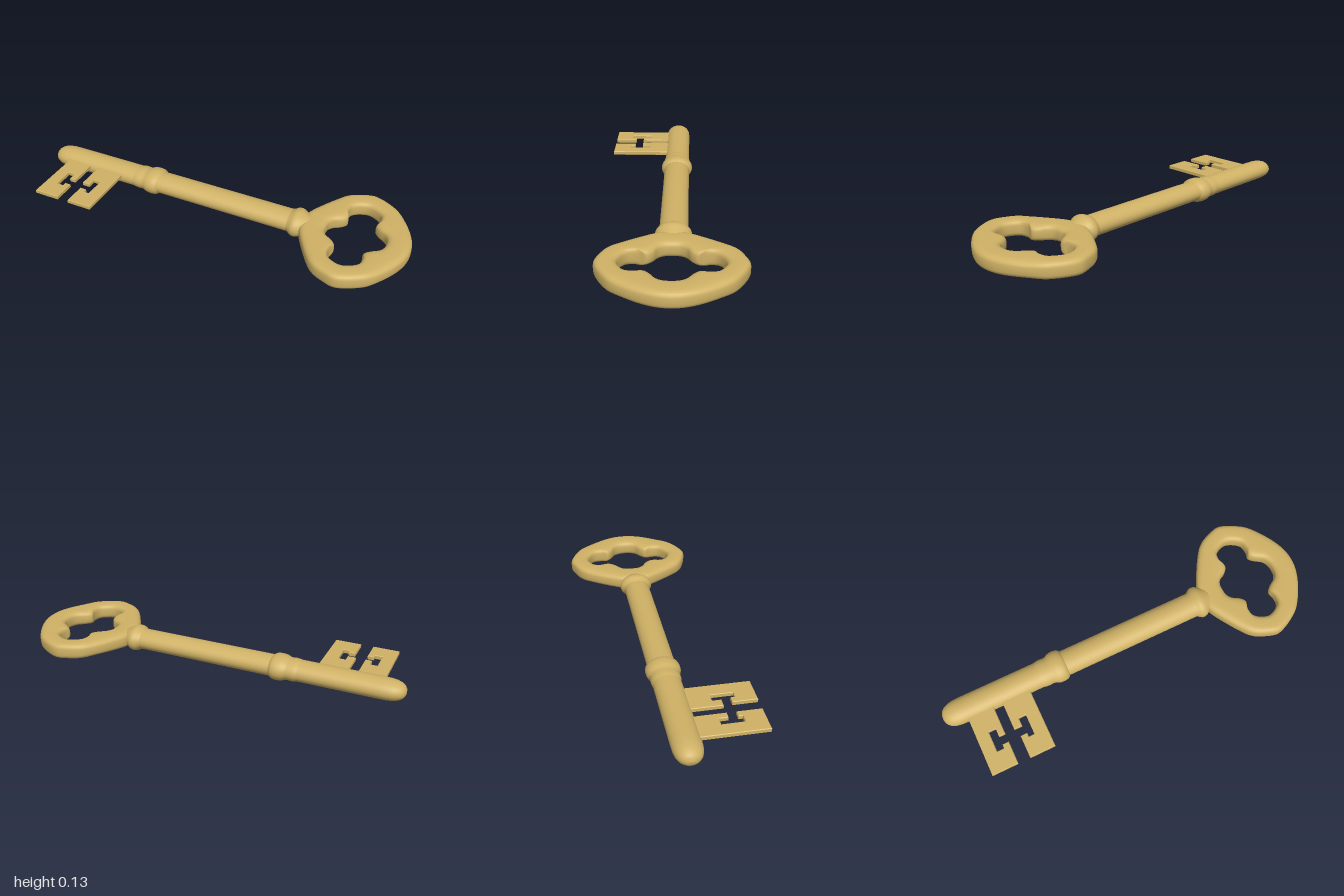
import * as THREE from 'three';

const AXIS_Y = 0.066, AXIS_Z = -0.02;

// Half of the bow: [outer x, outer offset, inner x, inner offset], mirrored about the shaft
const BOW = [
  [0.455, 0, 0.58, 0], [0.456, 0.05, 0.583, 0.035], [0.47, 0.09, 0.603, 0.064],
  [0.53, 0.195, 0.637, 0.083], [0.565, 0.247, 0.657, 0.11], [0.587, 0.274, 0.645, 0.145],
  [0.62, 0.3, 0.648, 0.19], [0.67, 0.322, 0.675, 0.218], [0.725, 0.337, 0.725, 0.234],
  [0.78, 0.322, 0.77, 0.218], [0.86, 0.275, 0.8, 0.19], [0.89, 0.245, 0.805, 0.145],
  [0.915, 0.212, 0.797, 0.11], [0.945, 0.165, 0.82, 0.085], [0.972, 0.11, 0.855, 0.062],
  [0.99, 0.055, 0.872, 0.035], [0.996, 0, 0.877, 0],
];

// Ring lofted between the outer outline and the hole, with a rounded section
function bowGeometry() {
  const rows = [
    ...BOW.map(([a, b, c, d]) => [a, -b, c, -d]),
    ...BOW.slice(1, -1).reverse(),
  ];
  const loop = (i) => new THREE.CatmullRomCurve3(
    rows.map((r) => new THREE.Vector3(r[i], AXIS_Y, AXIS_Z + r[i + 1])), true);
  const outer = loop(0), inner = loop(2);
  const U = 128, T = 28, positions = [], index = [];
  const soft = (v) => Math.sign(v) * Math.pow(Math.abs(v), 0.6);
  for (let u = 0; u < U; u++) {
    const p = outer.getPoint(u / U), q = inner.getPoint(u / U);
    for (let t = 0; t < T; t++) {
      const a = (t / T) * Math.PI * 2;
      const v = q.clone().lerp(p, 0.5 + 0.5 * soft(Math.cos(a)));
      positions.push(v.x, v.y + 0.042 * soft(Math.sin(a)), v.z);
      const u1 = (u + 1) % U, t1 = (t + 1) % T;
      const i = u * T + t, it = u * T + t1, iu = u1 * T + t, iut = u1 * T + t1;
      index.push(i, it, iu, it, iut, iu);
    }
  }
  const g = new THREE.BufferGeometry();
  g.setAttribute('position', new THREE.Float32BufferAttribute(positions, 3));
  g.setIndex(index);
  g.computeVertexNormals();
  return g;
}

// Oval turned piece along x from [x, radius] points
function turned(profile) {
  const g = new THREE.LatheGeometry(profile.map(([x, r]) => new THREE.Vector2(r, x)), 40);
  g.rotateZ(-Math.PI / 2);
  g.scale(1, 0.755, 1);
  g.translate(0, AXIS_Y, AXIS_Z);
  return g;
}

// Flat tooth cut from an outline in x and z
function tooth(outline) {
  const g = new THREE.ExtrudeGeometry(
    new THREE.Shape(outline.map(([x, z]) => new THREE.Vector2(x, z))),
    { depth: 0.016, bevelThickness: 0.003, bevelSize: 0.003, bevelOffset: -0.003, bevelSegments: 1 });
  g.rotateX(Math.PI / 2);
  g.translate(0, 0.087, 0);
  return g;
}

export function createModel() {
  const key = new THREE.Group();
  key.name = 'key';
  const brass = new THREE.MeshStandardMaterial({ color: 0xd0b266 });
  brass.name = 'brass';
  const add = (name, geometry) => {
    const mesh = new THREE.Mesh(geometry, brass);
    mesh.name = name;
    key.add(mesh);
  };

  // Shaft with a rounded tip
  add('shaft', turned([
    [-1, 0], [-0.997, 0.022], [-0.988, 0.039], [-0.972, 0.053], [-0.95, 0.062],
    [-0.92, 0.067], [-0.88, 0.068], [-0.4, 0.068], [0.44, 0.068], [0.49, 0.05], [0.53, 0],
  ]));

  // Collars
  add('middleCollar', turned([
    [-0.49, 0.066], [-0.47, 0.071], [-0.45, 0.073], [-0.43, 0.071], [-0.418, 0.073],
    [-0.405, 0.08], [-0.39, 0.084], [-0.37, 0.085], [-0.352, 0.082], [-0.342, 0.075], [-0.335, 0.066],
  ]));
  add('bowCollar', turned([
    [0.385, 0.066], [0.4, 0.071], [0.41, 0.08], [0.422, 0.086], [0.435, 0.087],
    [0.448, 0.083], [0.46, 0.075], [0.475, 0.066], [0.5, 0.05],
  ]));

  // Bow handle
  add('bow', bowGeometry());

  // Bit teeth
  add('outerTooth', tooth([
    [-0.885, 0], [-0.75, 0], [-0.75, 0.19], [-0.783, 0.19], [-0.783, 0.147], [-0.82, 0.147],
    [-0.82, 0.254], [-0.783, 0.254], [-0.783, 0.233], [-0.75, 0.233], [-0.75, 0.352], [-0.885, 0.352],
  ]));
  add('innerTooth', tooth([
    [-0.553, 0], [-0.702, 0], [-0.702, 0.19], [-0.66, 0.19], [-0.66, 0.147], [-0.622, 0.147],
    [-0.622, 0.254], [-0.652, 0.254], [-0.652, 0.233], [-0.687, 0.233], [-0.687, 0.352], [-0.553, 0.352],
  ]));
  return key;
}
